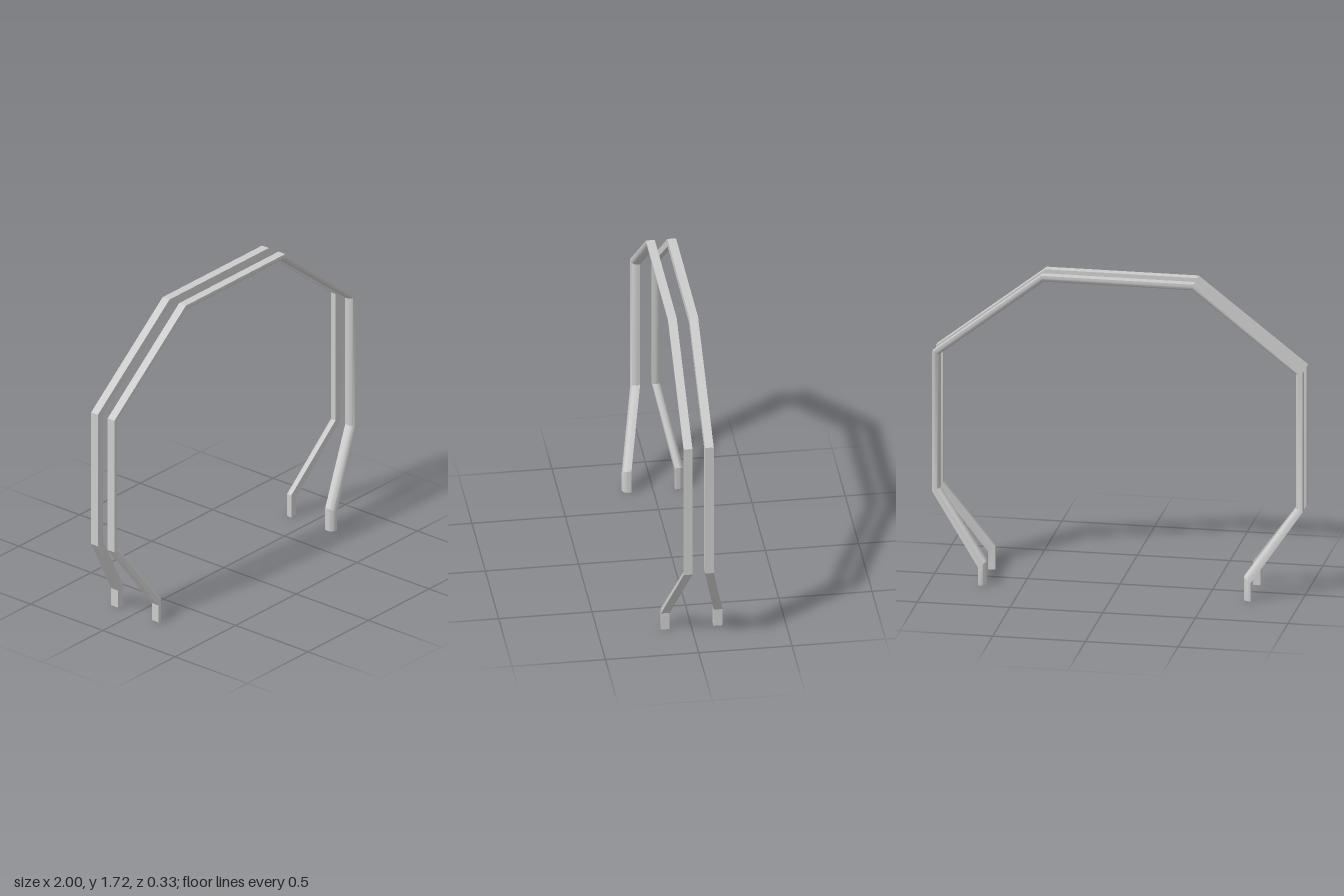
import * as THREE from 'three';
import { toCreasedNormals } from 'three/addons/utils/BufferGeometryUtils.js';

// Mitred joints of half a bar, foot to top: [outer x, outer y, inner x, inner y, centre z]
const HALF = [
  [0.735, 0, 0.695, 0, 0.141],
  [0.735, 0.10, 0.695, 0.13, 0.141],
  [1.0, 0.485, 0.96, 0.50, 0.057],
  [1.0, 1.26, 0.96, 1.245, 0.057],
  [0.41, 1.72, 0.40, 1.68, 0.057],
];
const JOINTS = [
  ...HALF,
  ...[...HALF].reverse().map(([ox, oy, ix, iy, z]) => [-ox, oy, -ix, iy, z]),
];

// Section [across in z, inner to outer]: square edges, with the inner edge facing away rounded
function barSection() {
  const h = 0.0235, rz = 0.032, ru = 0.75, steps = 8;
  const pts = [[-h, 0]];
  for (let i = 0; i <= steps; i++) {
    const a = (i / steps) * Math.PI / 2;
    pts.push([h - rz + rz * Math.sin(a), ru - ru * Math.cos(a)]);
  }
  pts.push([h, 1], [-h, 1]);
  return pts;
}

// Sweep the section through the joints; side = 1 front bar, -1 back bar
function barGeometry(side) {
  const section = barSection();
  if (side < 0) section.reverse();
  const n = section.length;
  const positions = [], index = [];
  for (const [ox, oy, ix, iy, z] of JOINTS) {
    for (const [v, u] of section) {
      positions.push(ix + (ox - ix) * u, iy + (oy - iy) * u, side * (z + v));
    }
  }
  for (let j = 0; j < JOINTS.length - 1; j++) {
    for (let k = 0; k < n; k++) {
      const a = j * n + k, b = j * n + (k + 1) % n;
      index.push(a, b, b + n, a, b + n, a + n);
    }
  }
  // End caps under both feet
  const last = (JOINTS.length - 1) * n;
  for (let k = 1; k < n - 1; k++) {
    index.push(0, k + 1, k, last, last + k, last + k + 1);
  }
  const geo = new THREE.BufferGeometry();
  geo.setAttribute('position', new THREE.Float32BufferAttribute(positions, 3));
  geo.setIndex(index);
  return toCreasedNormals(geo, 0.5);
}

export function createModel() {
  const group = new THREE.Group();
  group.name = 'doubleBarFrame';
  const material = new THREE.MeshStandardMaterial({ color: 0xcccccc });
  for (const [name, side] of [['frontBar', 1], ['backBar', -1]]) {
    const bar = new THREE.Mesh(barGeometry(side), material);
    bar.name = name;
    group.add(bar);
  }
  return group;
}
